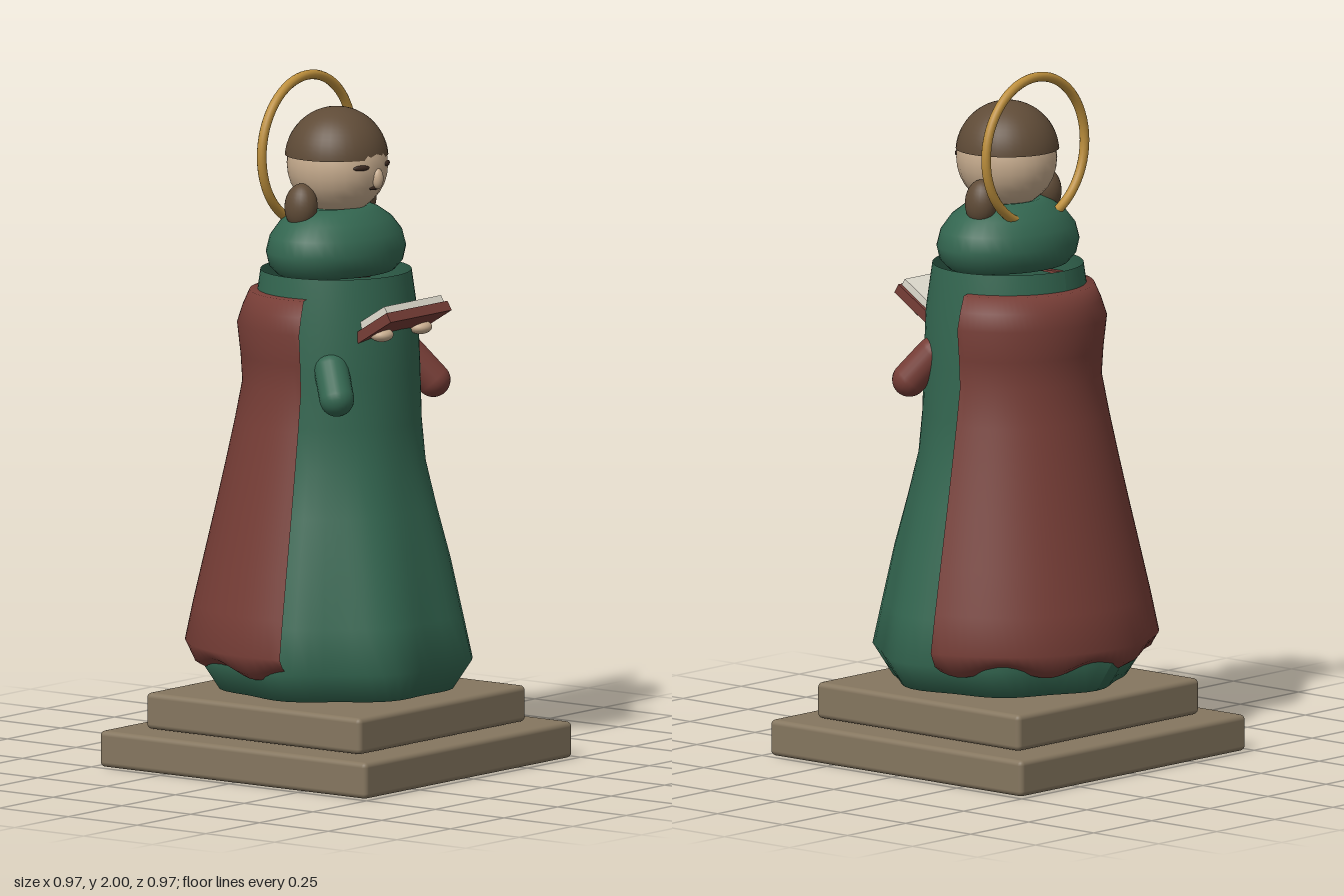
import * as THREE from 'three';
import { RoundedBoxGeometry } from 'three/addons/geometries/RoundedBoxGeometry.js';

const mat = (name, color, side = THREE.FrontSide) => {
  const m = new THREE.MeshStandardMaterial({ color, side });
  m.name = name;
  return m;
};

export function createModel() {
  const green = mat('green cloth', 0x336650, THREE.DoubleSide);
  const red = mat('red cloth', 0x763d36, THREE.DoubleSide);
  const stone = mat('stone', 0x85765f);
  const skin = mat('skin', 0xc8ad8f);
  const hair = mat('brown hair', 0x5f4b37, THREE.DoubleSide);
  const gold = mat('gold', 0xbd8f3c);
  const paper = mat('paper', 0xe0dccf);
  const dark = mat('dark features', 0x3a281f);

  const group = new THREE.Group();
  const add = (name, geometry, material, x = 0, y = 0, z = 0, parent = group) => {
    const mesh = new THREE.Mesh(geometry, material);
    mesh.name = name;
    mesh.position.set(x, y, z);
    parent.add(mesh);
    return mesh;
  };
  const ellipsoid = (name, material, x, y, z, rx, ry, rz, parent) => {
    const mesh = add(name, new THREE.SphereGeometry(1, 24, 16), material, x, y, z, parent);
    mesh.scale.set(rx, ry, rz);
    return mesh;
  };
  const profile = (pts) => pts.map(([r, y]) => new THREE.Vector2(r, y));
  const reshape = (geometry, rule) => {
    const p = geometry.attributes.position, v = new THREE.Vector3();
    for (let i = 0; i < p.count; i++) {
      v.fromBufferAttribute(p, i);
      rule(v, Math.atan2(v.x, v.z));
      p.setXYZ(i, v.x, v.y, v.z);
    }
    geometry.computeVertexNormals();
    return geometry;
  };

  // Two-step plinth
  add('lowerPlinth', new RoundedBoxGeometry(0.97, 0.105, 0.97, 3, 0.015), stone, 0, 0.0525, 0);
  add('upperPlinth', new RoundedBoxGeometry(0.78, 0.105, 0.78, 3, 0.015), stone, 0, 0.16, 0);

  // Robe: open at the top, seven soft folds that fade upward
  const robe = new THREE.LatheGeometry(profile([
    [0.001, 0.211], [0.07, 0.213], [0.33, 0.225], [0.384, 0.31], [0.358, 0.44], [0.325, 0.6],
    [0.287, 0.75], [0.257, 0.88], [0.246, 1.0], [0.242, 1.15], [0.236, 1.3], [0.217, 1.435],
  ]), 56, Math.PI);
  reshape(robe, (v, a) => {
    const fade = THREE.MathUtils.clamp((1.1 - v.y) / 0.8, 0, 1);
    const s = 1 - 0.038 * fade * Math.cos(7 * a);
    v.x *= s;
    v.z *= s;
  });
  add('robe', robe, green);

  // Cloak: half wrap turned slightly to one side, with a wavy hem
  const start = THREE.MathUtils.degToRad(101), sweep = THREE.MathUtils.degToRad(185);
  const cloak = new THREE.LatheGeometry(profile([
    [0.375, 0.3], [0.41, 0.32], [0.433, 0.36], [0.41, 0.47], [0.38, 0.6], [0.345, 0.75],
    [0.318, 0.87], [0.29, 1.0], [0.269, 1.11], [0.274, 1.19], [0.284, 1.28], [0.268, 1.33],
    [0.248, 1.375], [0.15, 1.385],
  ]), 48, start, sweep);
  reshape(cloak, (v, a) => {
    if (v.y < 0.33) v.y += 0.014 * Math.sin(9 * a);
  });
  add('cloak', cloak, red);

  // Rolled cowl around the neck
  const cowl = new THREE.LatheGeometry(profile([
    [0.1, 1.425], [0.15, 1.43], [0.17, 1.455], [0.178, 1.495], [0.168, 1.54], [0.142, 1.58],
    [0.11, 1.607], [0.085, 1.62], [0.05, 1.615], [0.001, 1.6],
  ]), 40);
  add('cowl', cowl, green).scale.x = 1.32;

  // Head, cap of hair and face
  ellipsoid('head', skin, 0, 1.74, 0.005, 0.14, 0.145, 0.15);
  const cap = add('hairCap', new THREE.SphereGeometry(0.15, 36, 14, 0, Math.PI * 2, 0, Math.PI * 0.475), hair, 0, 1.755, 0.002);
  cap.scale.set(1, 1, 0.99);
  ellipsoid('nose', skin, 0, 1.71, 0.152, 0.017, 0.03, 0.016);
  ellipsoid('mouth', dark, 0, 1.682, 0.141, 0.024, 0.006, 0.006);
  for (const s of [-1, 1]) {
    const eye = ellipsoid('eye', dark, s * 0.06, 1.746, 0.139, 0.026, 0.008, 0.006);
    eye.rotation.y = s * 0.45;
    const bun = ellipsoid('hairBun', hair, s * 0.138, 1.63, -0.02, 0.043, 0.066, 0.05);
    bun.rotation.z = s * 0.12;
  }
  add('halo', new THREE.TorusGeometry(0.212, 0.014, 12, 64), gold, 0, 1.774, -0.105);

  // Sleeves: one green, one red
  for (const s of [-1, 1]) {
    const top = new THREE.Vector3(s * 0.182, 1.175, 0.125), tip = new THREE.Vector3(s * 0.225, 1.1, 0.178);
    const axis = top.clone().sub(tip);
    const mid = top.clone().add(tip).multiplyScalar(0.5);
    const sleeve = add(s < 0 ? 'rightSleeve' : 'leftSleeve',
      new THREE.CapsuleGeometry(0.05, axis.length(), 8, 20), s < 0 ? green : red, mid.x, mid.y, mid.z);
    sleeve.quaternion.setFromUnitVectors(new THREE.Vector3(0, 1, 0), axis.normalize());
    ellipsoid('hand', skin, s * 0.09, 1.276, 0.237, 0.036, 0.02, 0.032);
  }

  // Open book, raised toward the front
  const book = new THREE.Group();
  book.name = 'book';
  book.position.set(0, 1.268, 0.216);
  book.rotation.x = -0.55;
  group.add(book);
  add('bookCover', new THREE.BoxGeometry(0.285, 0.03, 0.22), red, 0, 0.015, 0, book);
  add('bookPages', new THREE.BoxGeometry(0.265, 0.022, 0.21), paper, 0, 0.041, 0, book);

  return group;
}
